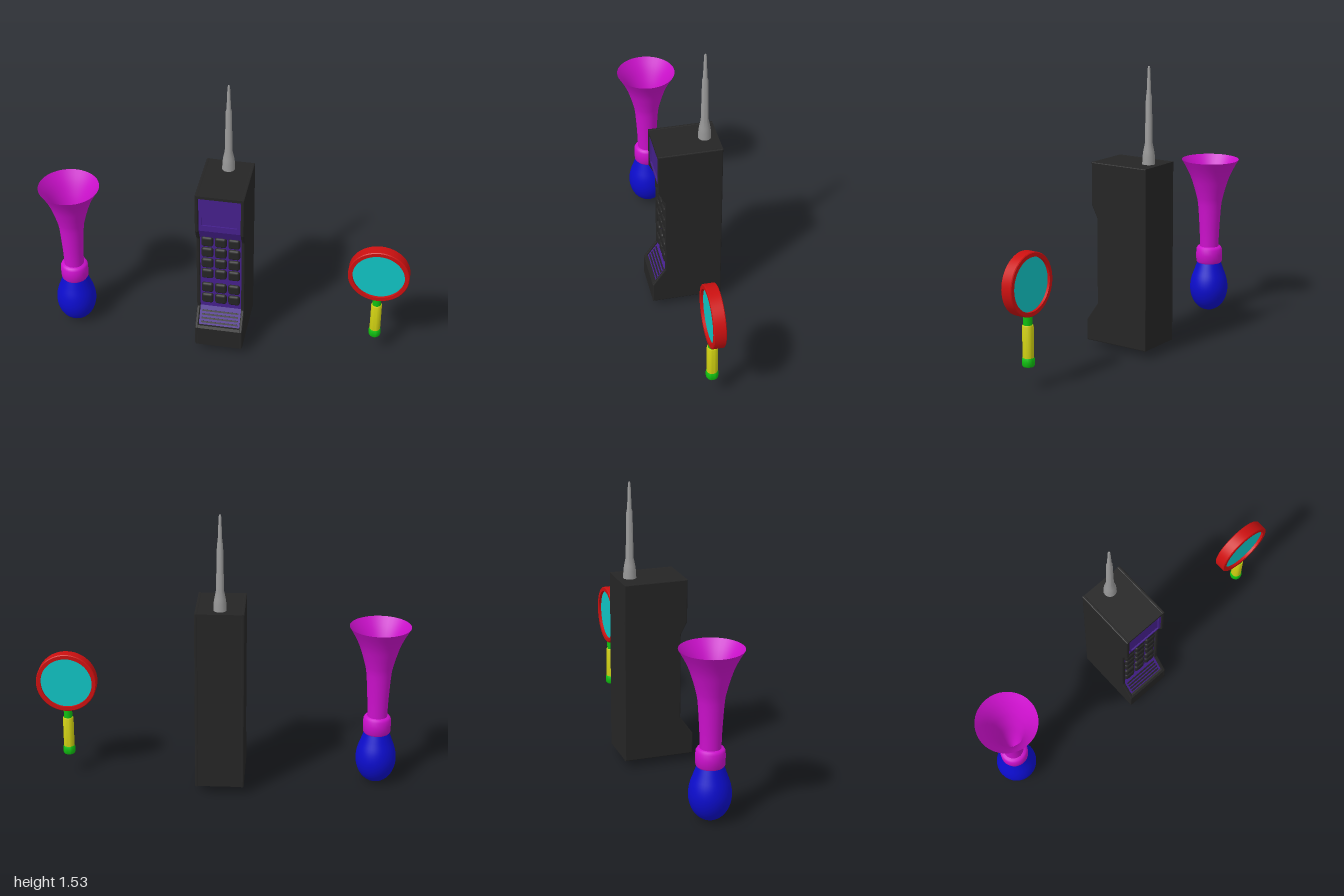
import * as THREE from 'three';
import { toCreasedNormals } from 'three/addons/utils/BufferGeometryUtils.js';
import { RoundedBoxGeometry } from 'three/addons/geometries/RoundedBoxGeometry.js';

const mat = (name, color, side = THREE.FrontSide) => {
  const m = new THREE.MeshStandardMaterial({ color, side });
  m.name = name;
  return m;
};

export function createModel() {
  const black = mat('black plastic', 0x252525);
  const purple = mat('purple panel', 0x45208c);
  const grey = mat('antenna grey', 0x969696);
  const magenta = mat('horn magenta', 0xcc10cc, THREE.DoubleSide);
  const blue = mat('bulb blue', 0x0c0ccc);
  const red = mat('rim red', 0xcc1010);
  const cyan = mat('lens cyan', 0x10c4c4);
  const green = mat('fitting green', 0x10c010);
  const yellow = mat('grip yellow', 0xcccc10);

  const root = new THREE.Group();
  const group = (name, x, y, z) => {
    const g = new THREE.Group();
    g.name = name;
    g.position.set(x, y, z);
    root.add(g);
    return g;
  };
  const add = (parent, name, geo, material, x = 0, y = 0, z = 0) => {
    const m = new THREE.Mesh(geo, material);
    m.name = name;
    m.position.set(x, y, z);
    parent.add(m);
    return m;
  };
  const vectors = (pts) => pts.map(([a, b]) => new THREE.Vector2(a, b));
  const lathe = (pts, seg = 32, crease = 0.6) =>
    toCreasedNormals(new THREE.LatheGeometry(vectors(pts), seg), crease);
  const smoothLathe = (pts, seg = 40, steps = 24) =>
    new THREE.LatheGeometry(new THREE.SplineCurve(vectors(pts)).getPoints(steps), seg);
  // Side profile in (z, y), extruded across x and centred
  const slab = (pts, width, bevel = 0) => {
    const geo = new THREE.ExtrudeGeometry(new THREE.Shape(vectors(pts)), {
      depth: width - 2 * bevel, bevelEnabled: bevel > 0, bevelSize: bevel,
      bevelThickness: bevel, bevelOffset: -bevel, bevelSegments: 2,
    });
    geo.translate(0, 0, -(width - 2 * bevel) / 2);
    return geo.rotateY(-Math.PI / 2);
  };

  // ---- Phone ----
  const phone = group('phone', 0, 0, 0);
  const front = [[0.19, 0.155], [0.12, 0.255], [0.12, 0.72], [0.155, 0.79], [0.155, 1.02]];
  const outline = [[-0.19, 0.04], [0.19, 0.04], ...front, [-0.19, 1.02]];
  for (const s of [-1, 1]) add(phone, 'sideRail', slab(outline, 0.018, 0.005), black, s * 0.121);

  const face = [[0.17, 0.167], [0.108, 0.255], [0.108, 0.72], [0.143, 0.79], [0.143, 1.005]];
  const inset = face.map(([z, y]) => [z - 0.008, y]);
  add(phone, 'bodyCore', slab([[-0.189, 0.042], [0.15, 0.042], ...inset, [-0.189, 1.005]], 0.23), black);
  add(phone, 'frontPanel', slab([...face, ...inset.slice().reverse()], 0.226), purple);
  add(phone, 'chin', slab([[0, 0.04], [0.19, 0.04], [0.19, 0.155], [0.181, 0.168], [0, 0.168]], 0.236, 0.004), black);
  add(phone, 'topCap', new THREE.BoxGeometry(0.236, 0.016, 0.344), black, 0, 1.011, -0.018);

  // Raised edges around the display
  add(phone, 'displayLip', new THREE.BoxGeometry(0.222, 0.012, 0.009), purple, 0, 0.825, 0.146);
  add(phone, 'displayBrow', new THREE.BoxGeometry(0.222, 0.015, 0.009), purple, 0, 0.996, 0.146);
  for (const s of [-1, 1])
    add(phone, 'displayEdge', new THREE.BoxGeometry(0.016, 0.17, 0.009), purple, s * 0.102, 0.91, 0.146);

  // Keypad
  const keyGeo = new RoundedBoxGeometry(0.064, 0.062, 0.03, 2, 0.014);
  for (const y of [0.7, 0.628, 0.556, 0.484, 0.388, 0.314])
    for (const x of [-0.072, 0, 0.072]) add(phone, 'key', keyGeo, black, x, y, 0.108);

  // Mouthpiece slots on the lower slope
  for (const y of [0.18, 0.197, 0.214, 0.231]) {
    const z = 0.17 - (y - 0.167) * 0.705;
    add(phone, 'mouthpieceSlot', new THREE.BoxGeometry(0.2, 0.009, 0.006), black, 0, y, z).rotation.x = -0.61;
  }

  // Antenna
  add(phone, 'antenna', lathe([
    [0, 1.01], [0.035, 1.01], [0.033, 1.06], [0.029, 1.088], [0.021, 1.127], [0.016, 1.375],
    [0.012, 1.39], [0.007, 1.52], [0.004, 1.53], [0, 1.53],
  ], 16), grey, 0, 0, -0.12);

  // ---- Horn ----
  const horn = group('horn', -0.837, 0, 0.025);
  add(horn, 'bell', smoothLathe([
    [0.053, 0.36], [0.055, 0.44], [0.059, 0.52], [0.067, 0.63], [0.078, 0.685],
    [0.092, 0.735], [0.11, 0.79], [0.134, 0.842], [0.163, 0.893],
  ]), magenta);
  add(horn, 'bellLining', smoothLathe([
    [0.163, 0.893], [0.13, 0.84], [0.104, 0.785], [0.084, 0.725], [0.064, 0.63],
    [0.05, 0.52], [0.035, 0.44], [0.016, 0.38],
  ]), magenta);
  const throat = add(horn, 'throat', new THREE.CircleGeometry(0.017, 20), magenta, 0, 0.38, 0);
  throat.rotation.x = -Math.PI / 2;
  add(horn, 'collar', lathe([
    [0.05, 0.28], [0.066, 0.283], [0.074, 0.295], [0.075, 0.335], [0.074, 0.367],
    [0.067, 0.38], [0.05, 0.384],
  ], 32, 0.9), magenta);
  add(horn, 'squeezeBulb', smoothLathe([
    [0, 0], [0.04, 0.009], [0.077, 0.039], [0.1, 0.083], [0.109, 0.135],
    [0.102, 0.19], [0.083, 0.245], [0.067, 0.29],
  ]), blue);

  // ---- Magnifying glass ----
  const glass = group('magnifyingGlass', 0.835, 0, 0.027);
  const rim = add(glass, 'rim', lathe([
    [0.139, -0.032], [0.159, -0.032], [0.163, -0.028], [0.163, 0.028], [0.159, 0.032],
    [0.139, 0.032], [0.139, -0.032],
  ], 48), red, 0, 0.543, 0);
  rim.rotation.x = Math.PI / 2;
  const lens = add(glass, 'lens', new THREE.CylinderGeometry(0.14, 0.14, 0.036, 48), cyan, 0, 0.543, 0);
  lens.rotation.x = Math.PI / 2;
  add(glass, 'neck', new THREE.CylinderGeometry(0.023, 0.023, 0.06, 24), green, 0, 0.358, 0);
  add(glass, 'grip', lathe([
    [0, 0.16], [0.029, 0.16], [0.029, 0.328], [0.026, 0.334], [0, 0.334],
  ], 24), yellow);
  add(glass, 'endCap', lathe([
    [0, 0.12], [0.028, 0.12], [0.032, 0.127], [0.033, 0.145], [0.032, 0.16], [0.028, 0.168], [0, 0.168],
  ], 24, 0.9), green);

  return root;
}
